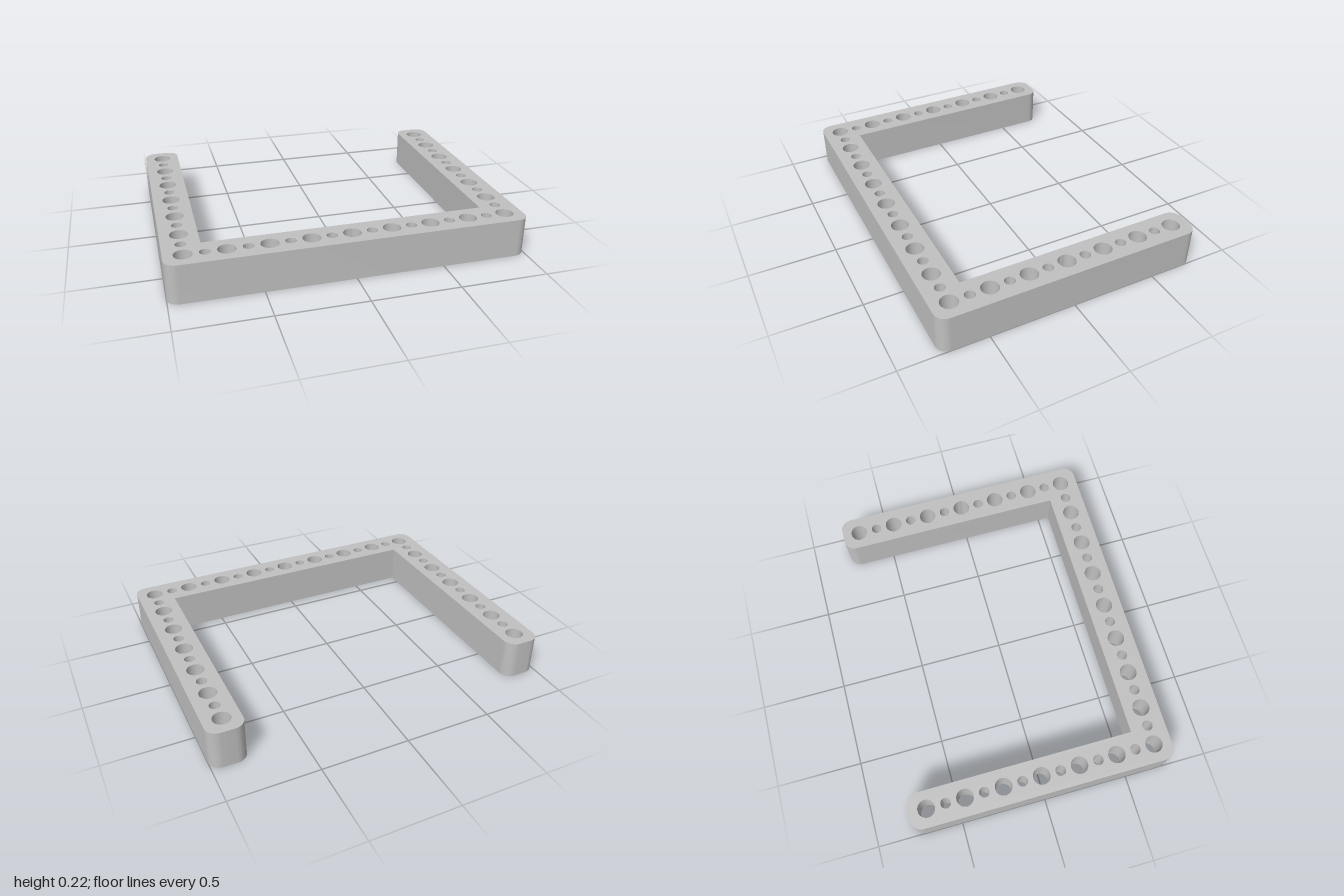
import * as THREE from 'three';
import { toCreasedNormals } from 'three/addons/utils/BufferGeometryUtils.js';

const HALF_X = 1, HALF_Z = 0.775; // outer footprint
const WIDTH = 0.206, HEIGHT = 0.225, CORNER = 0.065;
const PITCH = 0.224, BIG = 0.05, SMALL = 0.03;

export function createModel() {
  const group = new THREE.Group();
  group.name = 'perforatedBracket';
  const greyMetal = new THREE.MeshStandardMaterial({ color: 0xc0c0c0 });
  greyMetal.name = 'grey metal';

  // U outline in plan; shape y is -z, so the cross bar is at the bottom
  const X = HALF_X, Y = HALF_Z, r = CORNER, ix = X - WIDTH, iy = -Y + WIDTH;
  const outline = new THREE.Shape();
  const corner = (x, y, start) => outline.absarc(x, y, r, start, start + Math.PI / 2, false);
  corner(-X + r, -Y + r, Math.PI);
  corner(X - r, -Y + r, -Math.PI / 2);
  corner(X - r, Y - r, 0);
  corner(ix + r, Y - r, Math.PI / 2);
  outline.lineTo(ix, iy);
  outline.lineTo(-ix, iy);
  corner(-ix - r, Y - r, 0);
  corner(-X + r, Y - r, Math.PI / 2);
  outline.closePath();

  // Alternating large and small through holes
  const addHole = (x, y, radius) => {
    const hole = new THREE.Path();
    hole.absarc(x, y, radius, 0, Math.PI * 2, true);
    outline.holes.push(hole);
  };
  const hx = 4 * PITCH, hy = -3 * PITCH;
  for (let i = 0; i <= 16; i++) { // cross bar
    addHole(-hx + i * PITCH / 2, hy, i % 2 ? SMALL : BIG);
  }
  for (const side of [-1, 1]) { // arms
    for (let i = 1; i <= 12; i++) addHole(side * hx, hy + i * PITCH / 2, i % 2 ? SMALL : BIG);
  }

  const solid = new THREE.ExtrudeGeometry(outline, { depth: HEIGHT, bevelEnabled: false, curveSegments: 16 });
  solid.rotateX(-Math.PI / 2);
  const frame = new THREE.Mesh(toCreasedNormals(solid, 0.6), greyMetal);
  frame.name = 'perforatedFrame';
  group.add(frame);
  return group;
}
